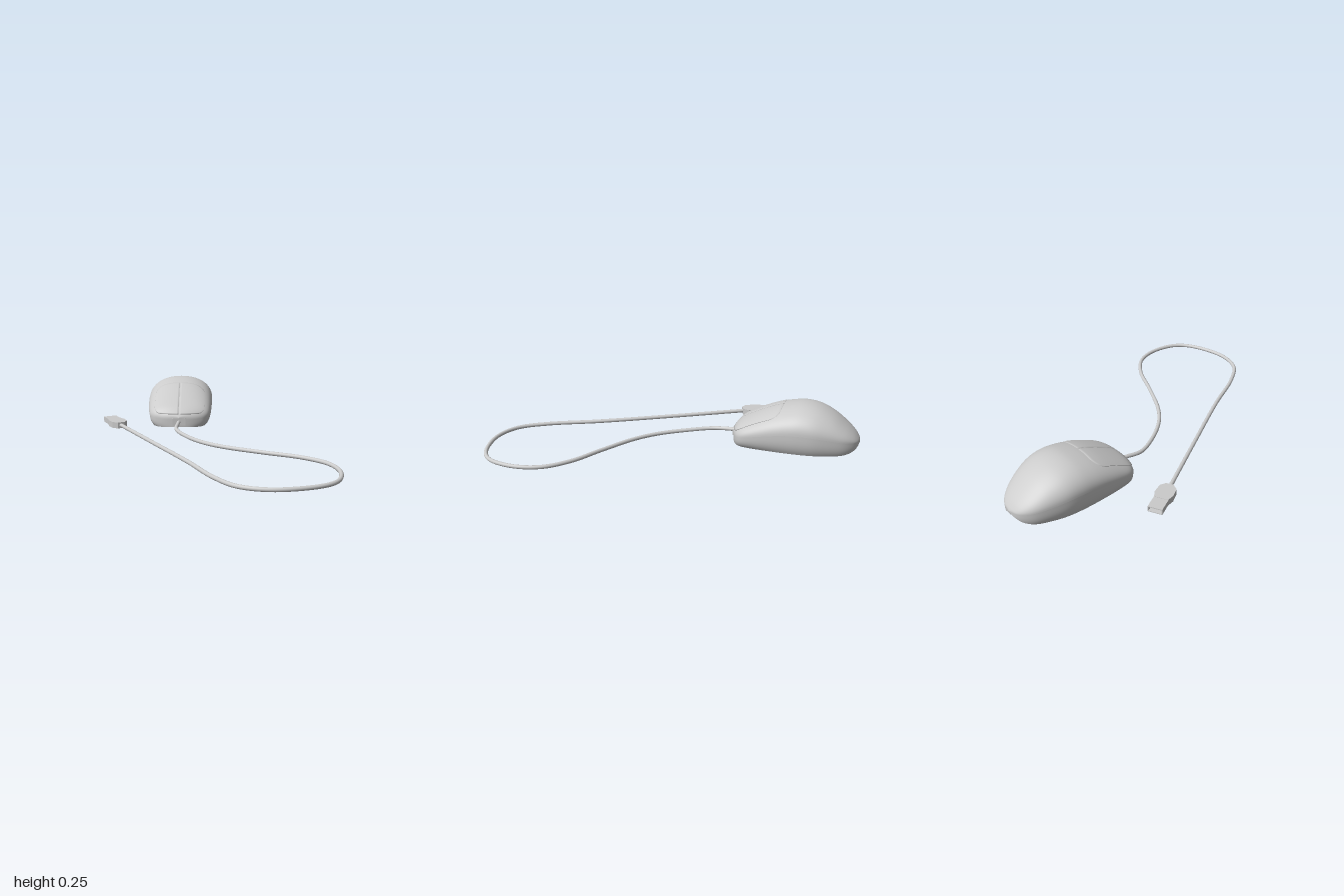
import * as THREE from 'three';

const CX = -0.18; // centre line of the mouse body

// Stations from front to back: z, half width, seam height, top height, bottom height
const STATIONS = [
  [-0.290, 0.000, 0.048, 0.062, 0.004],
  [-0.300, 0.075, 0.050, 0.078, 0.002],
  [-0.316, 0.125, 0.053, 0.098, 0],
  [-0.338, 0.160, 0.058, 0.120, 0],
  [-0.375, 0.182, 0.066, 0.143, 0],
  [-0.450, 0.193, 0.083, 0.181, 0],
  [-0.530, 0.198, 0.100, 0.215, 0],
  [-0.610, 0.200, 0.112, 0.238, 0],
  [-0.690, 0.198, 0.116, 0.249, 0],
  [-0.770, 0.188, 0.111, 0.237, 0],
  [-0.850, 0.162, 0.097, 0.201, 0],
  [-0.920, 0.128, 0.081, 0.150, 0.002],
  [-0.965, 0.090, 0.070, 0.110, 0.014],
  [-0.990, 0.050, 0.064, 0.080, 0.034],
  [-1.000, 0.000, 0.060, 0.062, 0.055],
];
const spline = (pick) => new THREE.CatmullRomCurve3(
  STATIONS.map((s) => new THREE.Vector3(...pick(s))), false, 'catmullrom');
const plan = spline((s) => [s[0], s[1], s[2]]);
const rise = spline((s) => [s[3], s[4], 0]);

function section(u) {
  const p = plan.getPoint(u), r = rise.getPoint(u);
  return { z: p.x, w: Math.max(p.y, 0), seam: p.z, top: r.x, bottom: Math.max(r.y, 0) };
}

function bisect(lo, hi, isBelow) {
  for (let i = 0; i < 26; i++) {
    const mid = (lo + hi) / 2;
    if (isBelow(mid)) lo = mid; else hi = mid;
  }
  return (lo + hi) / 2;
}

// Height of the upper shell above a point
const POWER = 2.15;
function shellHeight(dx, z) {
  const s = section(bisect(0, 1, (u) => plan.getPoint(u).x > z));
  const k = Math.min(1, Math.abs(dx) / Math.max(s.w, 1e-4));
  return s.seam + (s.top - s.seam) * Math.pow(1 - Math.pow(k, POWER), 1 / POWER);
}

// Surface through a grid of points, fn(u, v) -> [x, y, z]
function loft(fn, nu, nv) {
  const pos = [], index = [];
  for (let i = 0; i <= nu; i++) {
    for (let j = 0; j <= nv; j++) {
      pos.push(...fn(i / nu, j / nv));
      if (i < nu && j < nv) {
        const a = i * (nv + 1) + j, b = a + nv + 1;
        index.push(a, b, a + 1, b, b + 1, a + 1);
      }
    }
  }
  const g = new THREE.BufferGeometry();
  g.setAttribute('position', new THREE.Float32BufferAttribute(pos, 3));
  g.setIndex(index);
  g.computeVertexNormals();
  return g;
}

export function createModel() {
  const model = new THREE.Group();
  const smooth = new THREE.MeshStandardMaterial({ color: 0xcccccc, side: THREE.DoubleSide });
  const add = (name, geometry, parent = model) => {
    const mesh = new THREE.Mesh(geometry, smooth);
    mesh.name = name;
    parent.add(mesh);
    return mesh;
  };

  // Domed upper shell
  add('upperShell', loft((u, v) => {
    const s = section(u), a = v * Math.PI, c = Math.cos(a), e = 2 / POWER;
    return [CX + s.w * Math.sign(c) * Math.abs(c) ** e,
      s.seam + (s.top - s.seam) * Math.abs(Math.sin(a)) ** e, s.z];
  }, 84, 48));

  // Lower walls, set in slightly at the seam and tucked in towards the base
  const wallWidth = (s, q) => s.w * (0.985 - 0.12 * q * q * q);
  for (const side of [-1, 1]) {
    add(side > 0 ? 'leftLowerWall' : 'rightLowerWall', loft((u, v) => {
      const s = section(u), q = side > 0 ? 1 - v : v;
      return [CX + side * wallWidth(s, q), s.seam + (s.bottom - s.seam) * q, s.z];
    }, 84, 10));
  }
  add('base', loft((u, v) => {
    const s = section(u);
    return [CX + (2 * v - 1) * wallWidth(s, 1), s.bottom, s.z];
  }, 84, 4));

  // Two buttons, raised a hair above the shell, with rounded outer corners
  const HALF = 0.15;
  const corner = (dx, r) => {
    const k = Math.max(0, (dx - (HALF - r)) / r);
    return r * (1 - Math.sqrt(Math.max(0, 1 - k * k)));
  };
  const N = 26;
  const inner = (t) => Math.min(1, Math.max(0, (t * N - 1) / (N - 2)));
  for (const side of [-1, 1]) {
    add(side > 0 ? 'leftButton' : 'rightButton', loft((u, v) => {
      const t = side > 0 ? 1 - inner(v) : inner(v);
      const dx = 0.003 + (HALF - 0.003) * Math.sin(t * Math.PI / 2);
      const back = -0.57 + corner(dx, 0.06);
      const low = 0.08 + corner(dx, 0.035);
      const front = bisect(-0.29, -0.5, (z) => shellHeight(dx, z) < low);
      const z = front + (back - front) * inner(u) ** 1.3;
      const edge = u === 0 || u === 1 || v === 0 || v === 1;
      const k = edge ? 0.985 : 1.01; // border rows sink into the shell
      return [CX + side * dx * (edge ? 1 : k), shellHeight(dx, z) * k, -0.62 + (z + 0.62) * k];
    }, N, N));
  }

  // Cable outlet at the front
  const outlet = new THREE.Shape();
  outlet.moveTo(-0.04, 0.016);
  outlet.lineTo(0.04, 0.016);
  outlet.lineTo(0.04, 0.048);
  outlet.quadraticCurveTo(0.04, 0.058, 0.03, 0.058);
  outlet.lineTo(-0.03, 0.058);
  outlet.quadraticCurveTo(-0.04, 0.058, -0.04, 0.048);
  add('cableOutlet', new THREE.ExtrudeGeometry(outlet, { depth: 0.03, bevelEnabled: false }))
    .position.set(CX, 0, -0.315);

  // Cable: x, y, z
  const path = [
    [-0.18, 0.036, -0.30], [-0.185, 0.033, -0.25], [-0.19, 0.023, -0.155], [-0.127, 0.016, -0.013],
    [-0.03, 0.014, 0.125], [0.085, 0.014, 0.225], [0.296, 0.014, 0.343], [0.48, 0.014, 0.437],
    [0.598, 0.014, 0.55], [0.638, 0.014, 0.69], [0.605, 0.014, 0.85], [0.52, 0.014, 0.93],
    [0.296, 0.014, 0.987], [0.14, 0.014, 0.94], [0.03, 0.014, 0.80], [-0.10, 0.015, 0.53],
    [-0.31, 0.019, 0.14], [-0.53, 0.025, -0.262],
  ];
  const curve = new THREE.CatmullRomCurve3(path.map((p) => new THREE.Vector3(...p)));
  add('cable', new THREE.TubeGeometry(curve, 240, 0.011, 14));

  // Plug: tapered grip, hollow metal sleeve and inner tongue, pointing along local -z
  const plug = new THREE.Group();
  plug.name = 'plug';
  plug.position.set(-0.524, 0, -0.251);
  plug.rotation.y = 0.45;
  model.add(plug);

  const half = [[0.021, 0], [0.046, 0.028], [0.05, 0.085], [0.038, 0.125]];
  const outline = [...half, ...half.map(([x, y]) => [-x, y]).reverse()];
  const grip = new THREE.Shape(outline.map(([x, y]) => new THREE.Vector2(x, y)));
  const gripGeometry = new THREE.ExtrudeGeometry(grip, { depth: 0.036, bevelEnabled: false });
  gripGeometry.rotateX(-Math.PI / 2);
  add('plugGrip', gripGeometry, plug).position.y = 0.007;

  const rect = (path2, w, h) => path2.moveTo(-w, -h).lineTo(w, -h).lineTo(w, h).lineTo(-w, h).closePath();
  const sleeve = new THREE.Shape();
  rect(sleeve, 0.039, 0.016);
  const opening = new THREE.Path();
  rect(opening, 0.035, 0.012);
  sleeve.holes.push(opening);
  add('plugSleeve', new THREE.ExtrudeGeometry(sleeve, { depth: 0.09, bevelEnabled: false }), plug)
    .position.set(0, 0.025, -0.207);
  add('plugTongue', new THREE.BoxGeometry(0.07, 0.01, 0.075), plug).position.set(0, 0.032, -0.16);

  return model;
}
